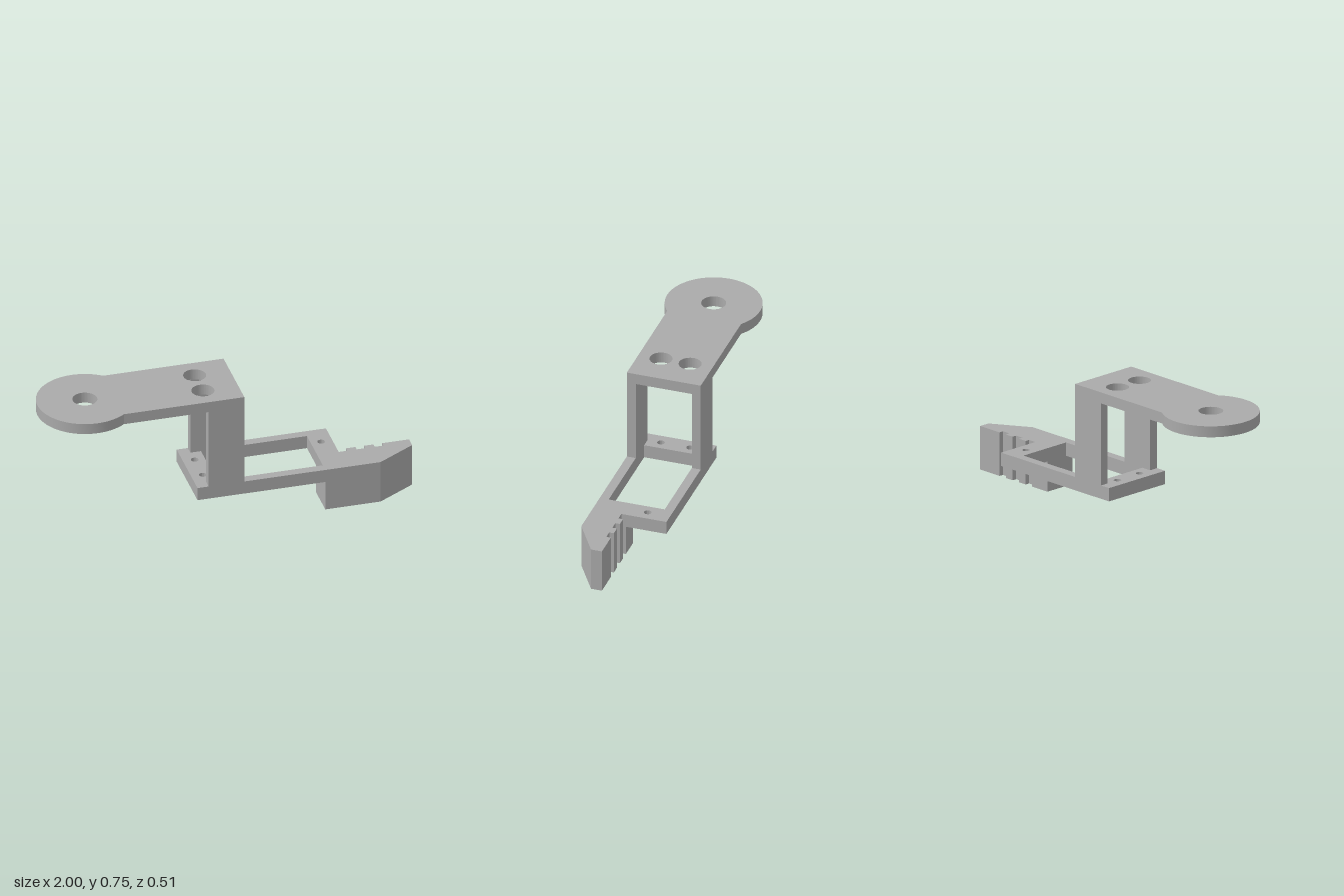
import * as THREE from 'three';
import { toCreasedNormals } from 'three/addons/utils/BufferGeometryUtils.js';

const metal = new THREE.MeshStandardMaterial({ color: 0xaaaaaa });
metal.name = 'plain grey';

// Round hole at plan position (x, z); plan shapes use y = -z
function hole(x, z, r) {
  return new THREE.Path().absarc(x, -z, r, 0, Math.PI * 2, true);
}

// Shape or path from [x, z] plan points
function plan(points, Type = THREE.Shape) {
  return new Type(points.map(([x, z]) => new THREE.Vector2(x, -z)));
}

// Plan outline raised from y0 to y1
function slab(name, shape, y0, y1) {
  const geo = new THREE.ExtrudeGeometry(shape, { depth: y1 - y0, bevelEnabled: false, curveSegments: 32 });
  geo.rotateX(-Math.PI / 2).translate(0, y0, 0);
  const mesh = new THREE.Mesh(toCreasedNormals(geo, 0.5), metal);
  mesh.name = name;
  return mesh;
}

export function createModel() {
  const model = new THREE.Group();
  model.name = 'steppedBracket';
  const W = 0.203, IN = 0.154;          // half width outside and inside
  const FRAME = 0.166, DECK = 0.239;    // lower frame bottom and top
  const PLATE = 0.69, TOP = 0.75;       // upper plate bottom and top

  // Upper plate with round end, pivot hole and two access holes
  const R = 0.255, cx = -0.745;
  const a = Math.asin(W / R);
  const arm = new THREE.Shape();
  arm.moveTo(0.06, -W);
  arm.lineTo(0.06, W);
  arm.lineTo(cx + R * Math.cos(a), W);
  arm.absarc(cx, 0, R, a, Math.PI * 2 - a, false);
  arm.closePath();
  arm.holes.push(hole(cx, 0, 0.065), hole(-0.13, 0.08, 0.06), hole(-0.13, -0.08, 0.06));
  model.add(slab('upperPlate', arm, PLATE, TOP));

  // Two side columns joining the levels
  for (const s of [-1, 1]) {
    const column = new THREE.Mesh(new THREE.BoxGeometry(0.193, PLATE - DECK, W - IN), metal);
    column.name = s > 0 ? 'frontColumn' : 'backColumn';
    column.position.set(-0.0365, (PLATE + DECK) / 2, s * (W + IN) / 2);
    model.add(column);
  }

  // Jaw outline: slanted nose and three notches along the gripping edge
  const grip = 0.02, deep = 0.045;
  const jaw = [[0.795, W], [1, 0.08], [1, grip]];
  for (const x of [0.855, 0.757, 0.66]) {
    jaw.push([x, grip], [x, deep], [x - 0.047, deep]);
    if (x > 0.7) jaw.push([x - 0.047, grip]);
  }

  // Lower frame with window, screw holes and the top of the jaw
  const frame = plan([[-0.193, W], ...jaw, [0.613, -W], [-0.193, -W]]);
  frame.holes.push(
    plan([[-0.075, -IN], [0.497, -IN], [0.497, IN], [-0.075, IN]], THREE.Path),
    hole(-0.13, 0.08, 0.02), hole(-0.13, -0.08, 0.02), hole(0.553, -0.08, 0.02));
  model.add(slab('lowerFrame', frame, FRAME, DECK));

  // Jaw block below the frame
  const block = plan([[0.497, W], ...jaw, [0.613, grip], [0.497, grip]]);
  model.add(slab('jawBlock', block, 0, FRAME));

  return model;
}
